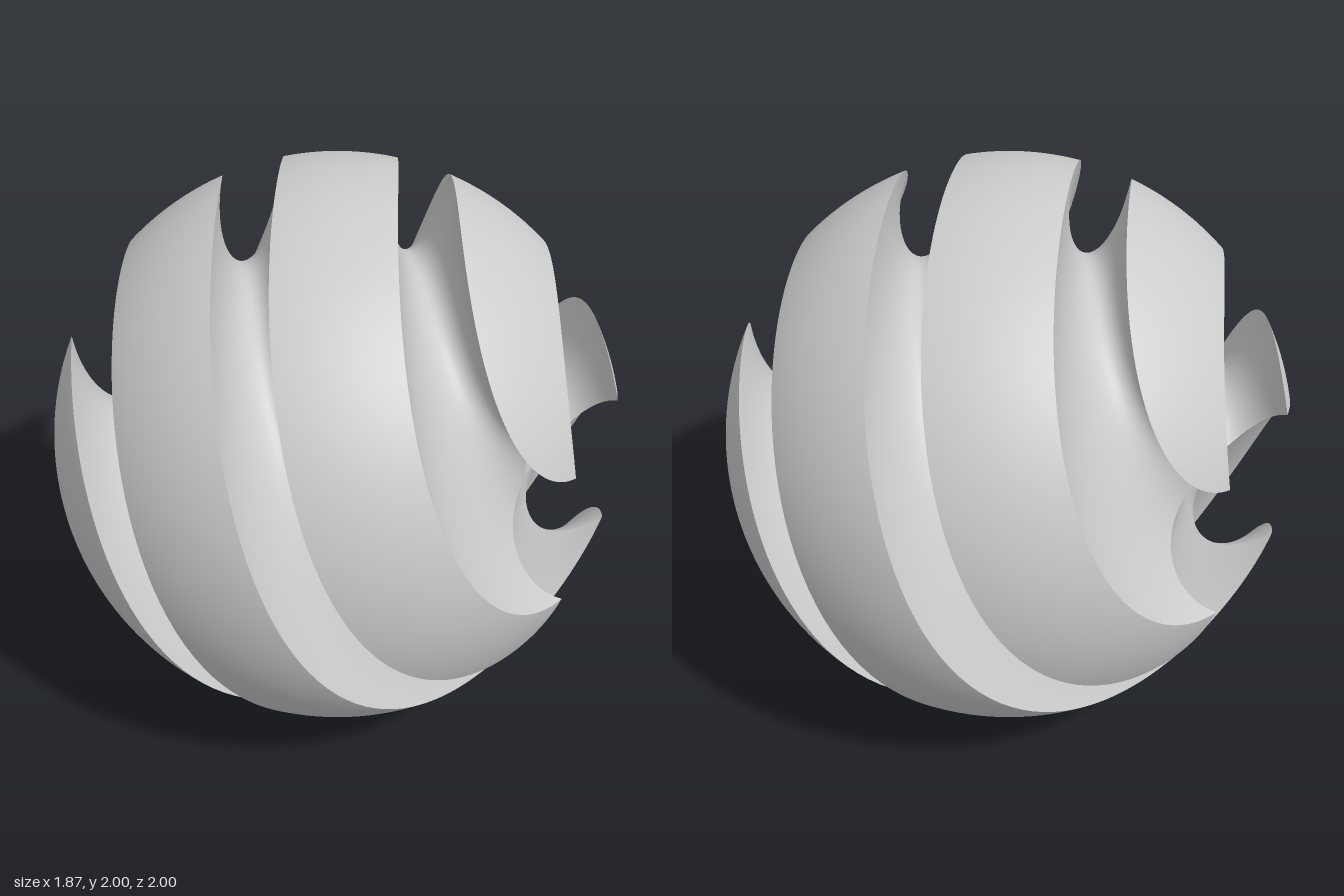
import * as THREE from 'three';

const RING = 0.95;                        // radius of the circle each channel follows
const GROOVE = 0.25;                      // radius of the round channel
const TWIST = 2.5;                        // radians of twist per unit along x
// Channel angle at which it meets the unit sphere
const RIM = Math.acos((RING * RING + GROOVE * GROOVE - 1) / (2 * RING * GROOVE));
const RIM_HALF = GROOVE * Math.sin(RIM);  // half width of the channel at the sphere
const RIM_RING = RING - GROOVE * Math.cos(RIM);

// Point from x, radius and angle around the x axis, twisted along x
function twisted(x, r, angle) {
  const a = angle + TWIST * x;
  return [x, r * Math.sin(a), -r * Math.cos(a)];
}

// Surface over a unit square, facing du x dv
function grid(point, nu, nv) {
  const positions = [], index = [];
  for (let i = 0; i <= nu; i++) {
    for (let j = 0; j <= nv; j++) {
      positions.push(...point(i / nu, j / nv));
      if (i < nu && j < nv) {
        const a = i * (nv + 1) + j, b = a + nv + 1;
        index.push(a, b, b + 1, a, b + 1, a + 1);
      }
    }
  }
  const geometry = new THREE.BufferGeometry();
  geometry.setAttribute('position', new THREE.Float32BufferAttribute(positions, 3));
  geometry.setIndex(index);
  geometry.computeVertexNormals();
  return geometry;
}

// Spherical ridge between two channels, running to a point at both ends
function ridgePoint(u, v) {
  const start = Math.asin(RIM_HALF / RIM_RING);
  const x = RIM_RING * Math.cos(start + u * (Math.PI - 2 * start));
  const r = Math.sqrt(1 - x * x);
  const margin = Math.min(Math.asin(RIM_HALF / r), Math.PI / 4);
  return twisted(x, r, Math.PI / 4 + margin + v * (Math.PI / 2 - 2 * margin));
}

// Round channel from pole to pole, mitred against its neighbours at the poles
function groovePoint(u, v) {
  const beta = (2 * v - 1) * RIM;
  const side = GROOVE * Math.sin(beta);
  const ring = RING - GROOVE * Math.cos(beta);
  const start = Math.asin(Math.abs(side) / ring);
  const phi = start + u * (Math.PI - 2 * start);
  const out = ring * Math.sin(phi);
  const angle = out < 1e-9 ? 0 : Math.atan2(side, out);
  return twisted(ring * Math.cos(phi), Math.hypot(out, side), Math.PI / 4 + angle);
}

export function createModel() {
  const model = new THREE.Group();
  model.name = 'twistedGroovedSphere';
  const material = new THREE.MeshStandardMaterial({ color: 0xcccccc });
  const parts = {
    ridge: grid(ridgePoint, 112, 24),
    groove: grid(groovePoint, 112, 32),
  };

  // Four ridges and four grooves around the x axis
  for (const [name, geometry] of Object.entries(parts)) {
    for (let i = 0; i < 4; i++) {
      const mesh = new THREE.Mesh(geometry, material);
      mesh.name = name + (i + 1);
      mesh.rotation.x = i * Math.PI / 2;
      mesh.position.y = 1;
      model.add(mesh);
    }
  }
  return model;
}
